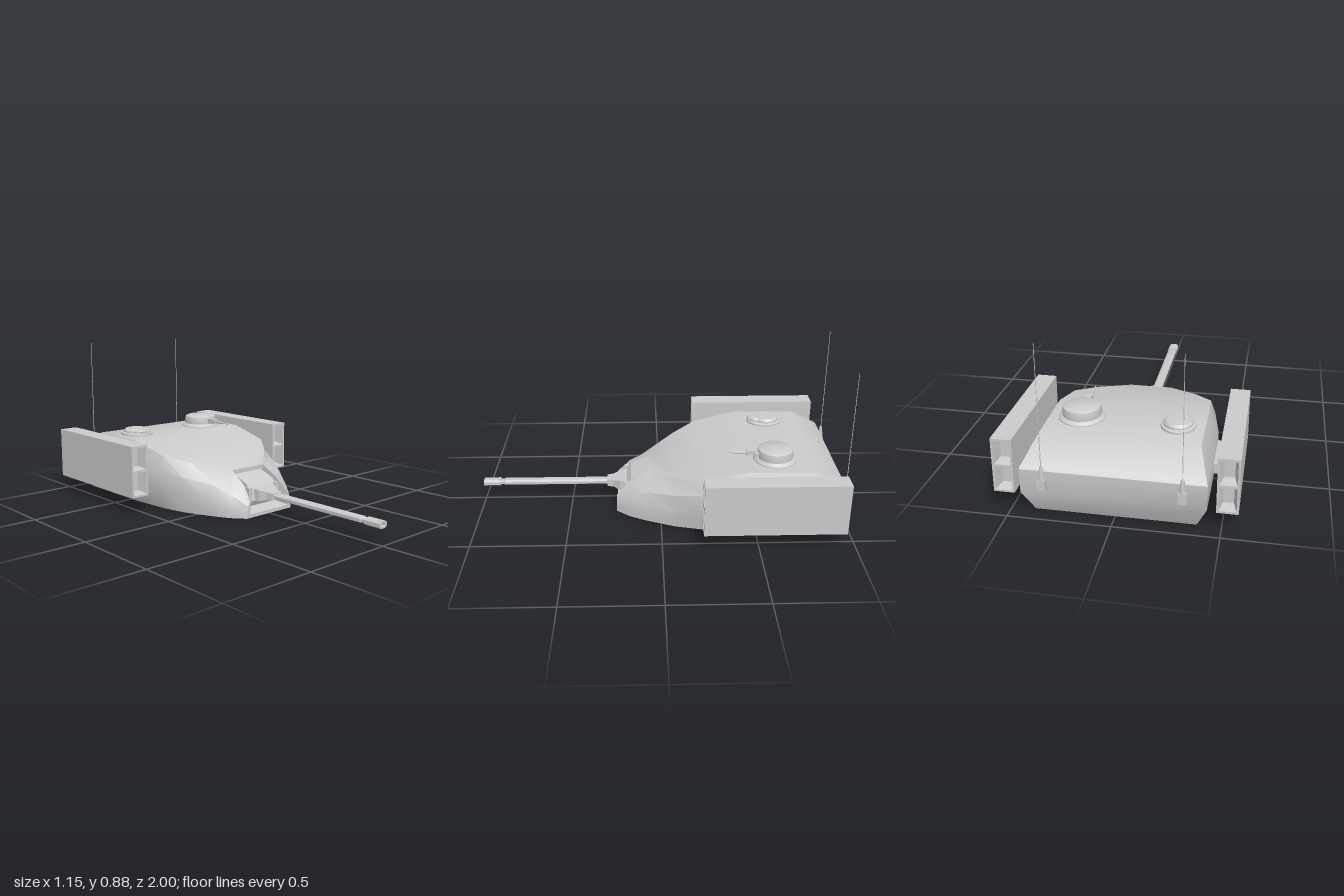
import * as THREE from 'three';
import { toCreasedNormals } from 'three/addons/utils/BufferGeometryUtils.js';

const grey = new THREE.MeshStandardMaterial({ color: 0xcccccc });
const mirror = ([x, y, z]) => [-x, y, z];

function add(parent, name, geometry, x = 0, y = 0, z = 0) {
  const mesh = new THREE.Mesh(geometry, grey);
  mesh.name = name;
  mesh.position.set(x, y, z);
  parent.add(mesh);
  return mesh;
}

// Turns convex polygons (corners counter-clockwise from outside) into a creased geometry
function fromFaces(faces, crease = 0.55) {
  const pos = [];
  for (const f of faces)
    for (let i = 1; i < f.length - 1; i++) pos.push(...f[0], ...f[i], ...f[i + 1]);
  const g = new THREE.BufferGeometry();
  g.setAttribute('position', new THREE.Float32BufferAttribute(pos, 3));
  return toCreasedNormals(g, crease);
}

// Side faces between rings; rings run back to front, counter-clockwise seen from +z
function ringFaces(rings, skip = () => false) {
  const faces = [];
  for (let s = 0; s < rings.length - 1; s++)
    rings[s].forEach((a, i) => {
      const j = (i + 1) % rings[s].length;
      if (!skip(s, i)) faces.push([a, rings[s][j], rings[s + 1][j], rings[s + 1][i]]);
    });
  return faces;
}

function loft(rings, capFront = true, crease = 0.3) {
  const faces = ringFaces(rings);
  faces.push([...rings[0]].reverse());
  if (capFront) faces.push(rings[rings.length - 1]);
  return fromFaces(faces, crease);
}

const rect = (w, h, z, y = 0) => [[w, y - h, z], [w, y + h, z], [-w, y + h, z], [-w, y - h, z]];
const octPoints = (w, h) => {
  const a = w * 0.55, b = h * 0.5;
  return [[w, -b], [w, b], [a, h], [-a, h], [-w, b], [-w, -b], [-a, -h], [a, -h]];
};
const oct = (w, h, z) => octPoints(w, h).map(([x, y]) => [x, y, z]);

// Turret shell: each station lists bottom, lower waist, upper waist and roof edge
function shellGeometry() {
  const stations = [
    [[.385, 0, -.915], [.435, .12, -.972], [.436, .245, -.975], [.432, .255, -.968]],
    [[.385, 0, -.80], [.436, .12, -.80], [.436, .24, -.80], [.385, .352, -.80]],
    [[.385, 0, -.45], [.436, .12, -.45], [.436, .24, -.45], [.385, .352, -.45]],
    [[.365, 0, -.21], [.395, .11, -.21], [.397, .225, -.21], [.372, .297, -.21]],
    [[.335, 0, -.08], [.35, .10, -.08], [.342, .195, -.08], [.275, .266, -.08]],
    [[.275, 0, .07], [.287, .085, .07], [.25, .165, .07], [.115, .225, .07]],
    [[.225, 0, .17], [.225, .06, .17], [.20, .115, .17], [.125, .168, .17]],
    [[.165, 0, .243], [.163, .035, .243], [.156, .065, .243], [.14, .09, .243]],
  ];
  const rings = stations.map(s => [...s, ...s.map(mirror).reverse()]);
  // The roof stops at the gun recess
  const faces = ringFaces(rings, (s, i) => i === 3 && s >= 5);
  const back = stations[0], nose = stations[7];
  for (let k = 0; k < 3; k++)
    faces.push([back[k], mirror(back[k]), mirror(back[k + 1]), back[k + 1]]);

  // Nose cheeks and the walls of the recess
  const floor = [[.115, .045, .07], [.12, .035, .17], [.14, .02, .243]];
  const half = [];
  for (let k = 0; k < 3; k++) half.push([floor[2], nose[k], nose[k + 1]]);
  for (let k = 0; k < 2; k++)
    half.push([floor[k], floor[k + 1], stations[k + 6][3], stations[k + 5][3]]);
  for (const f of half) faces.push(f, f.map(mirror).reverse());
  faces.push([mirror(nose[0]), nose[0], floor[2], mirror(floor[2])]);
  faces.push([mirror(floor[0]), floor[0], stations[5][3], mirror(stations[5][3])]);
  for (let k = 0; k < 2; k++)
    faces.push([mirror(floor[k]), mirror(floor[k + 1]), floor[k + 1], floor[k]]);
  return fromFaces(faces);
}

// Lathe cap built from a short radius/height profile
const lathe = profile => toCreasedNormals(
  new THREE.LatheGeometry(profile.map(p => new THREE.Vector2(...p)), 28), 0.6);

const rectPath = (w, h, y, Type) => new Type(
  [[-w, y - h], [w, y - h], [w, y + h], [-w, y + h]].map(p => new THREE.Vector2(...p)));

function missileBox(side) {
  const box = new THREE.Group();
  box.name = side > 0 ? 'leftLauncher' : 'rightLauncher';
  const length = .735, cells = [-.068, .067];
  const shape = rectPath(.051, .14, 0, THREE.Shape);
  for (const y of cells) shape.holes.push(rectPath(.041, .061, y, THREE.Path));
  const casing = new THREE.ExtrudeGeometry(shape, { depth: length, bevelEnabled: false });
  add(box, 'casing', casing.translate(0, 0, -length / 2));
  // Tapered cell mouths at both ends, facing inward
  for (const turn of [0, Math.PI])
    for (const y of cells) {
      const rings = [rect(.025, .05, .31, y), rect(.041, .061, length / 2, y)];
      add(box, 'cellMouth', loft(rings.map(r => r.reverse()), false)).rotation.y = turn;
    }
  add(box, 'bracket', new THREE.BoxGeometry(.07, .053, .235), -side * .075, -.058, -.005);
  box.position.set(side * .525, .235, -.578);
  return box;
}

function gun() {
  const g = new THREE.Group();
  g.name = 'mainGun';
  // Wedge-shaped mantlet, profile in (z, y), extruded across x
  const profile = [[.06, .045], [.19, .045], [.205, .075], [.195, .13], [.165, .165], [.06, .205]];
  const shape = new THREE.Shape(profile.map(([z, y]) => new THREE.Vector2(-z, y)));
  const wedge = new THREE.ExtrudeGeometry(shape, { depth: .2, bevelEnabled: false });
  add(g, 'mantlet', wedge.translate(0, 0, -.1).rotateY(Math.PI / 2));
  for (const s of [-1, 1])
    add(g, 'mantletCheek', new THREE.BoxGeometry(.025, .085, .11), s * .098, .105, .145);
  const barrel = new THREE.Group();
  barrel.name = 'barrel';
  barrel.position.y = .105;
  add(barrel, 'barrelRoot', loft([rect(.07, .033, .18), rect(.066, .03, .225),
    rect(.04, .021, .265), rect(.034, .018, .30)]));
  add(barrel, 'tube', loft([oct(.026, .015, .28), oct(.026, .015, .88), oct(.021, .012, .89), oct(.021, .012, .92)]));
  const toVectors = (w, h) => octPoints(w, h).map(p => new THREE.Vector2(...p));
  const muzzle = new THREE.Shape(toVectors(.028, .018));
  muzzle.holes.push(new THREE.Path(toVectors(.015, .01)));
  add(barrel, 'muzzle', new THREE.ExtrudeGeometry(muzzle, { depth: .093, bevelEnabled: false }), 0, 0, .907);
  g.add(barrel);
  return g;
}

function machineGun() {
  const g = new THREE.Group();
  g.name = 'machineGun';
  const rod = (r, l) => new THREE.CylinderGeometry(r, r, l, 10).rotateX(Math.PI / 2);
  add(g, 'mount', new THREE.BoxGeometry(.085, .03, .025), 0, 0, -.015);
  add(g, 'receiver', new THREE.BoxGeometry(.03, .028, .09), 0, 0, .025);
  add(g, 'ammoBox', new THREE.BoxGeometry(.022, .024, .035), .026, -.002, .01);
  add(g, 'jacket', rod(.007, .07), 0, 0, .10);
  add(g, 'barrel', rod(.0035, .06), 0, 0, .155);
  g.position.set(.222, .39, -.525);
  return g;
}

export function createModel() {
  const model = new THREE.Group();
  model.name = 'turret';
  add(model, 'shell', shellGeometry());
  model.add(gun(), machineGun());

  // Commander's cupola
  add(model, 'cupolaRing', lathe([[.117, -.01], [.115, .006], [.10, .018], [0, .018]]), .225, .352, -.61);
  add(model, 'cupola', lathe([[.096, 0], [.097, .025], [.092, .045], [.08, .053], [0, .055]]), .225, .367, -.61);

  // Low two-lobed sight hatch
  add(model, 'hatchRing', lathe([[.087, -.01], [.086, .01], [.077, .015], [0, .015]]), -.255, .352, -.62)
    .scale.z = 1.15;
  add(model, 'hatchDome', lathe([[.072, 0], [.071, .012], [.06, .023], [0, .026]]), -.255, .364, -.63);
  add(model, 'hatchLobe', lathe([[.05, 0], [.049, .012], [.04, .02], [0, .022]]), -.255, .364, -.575);
  add(model, 'hatchSlit', new THREE.BoxGeometry(.06, .009, .012), -.255, .375, -.53);

  for (const side of [-1, 1]) {
    model.add(missileBox(side));
    // Whip antenna on a stepped base
    const antenna = new THREE.Group();
    antenna.name = side > 0 ? 'leftAntenna' : 'rightAntenna';
    antenna.position.set(side * .325, 0, -.984);
    add(antenna, 'base', new THREE.BoxGeometry(.04, .055, .03), 0, .18, 0);
    add(antenna, 'socket', new THREE.CylinderGeometry(.008, .016, .07, 8), 0, .24, 0);
    add(antenna, 'whip', new THREE.CylinderGeometry(.0015, .002, .615, 6), 0, .568, 0);
    model.add(antenna);
  }
  return model;
}
